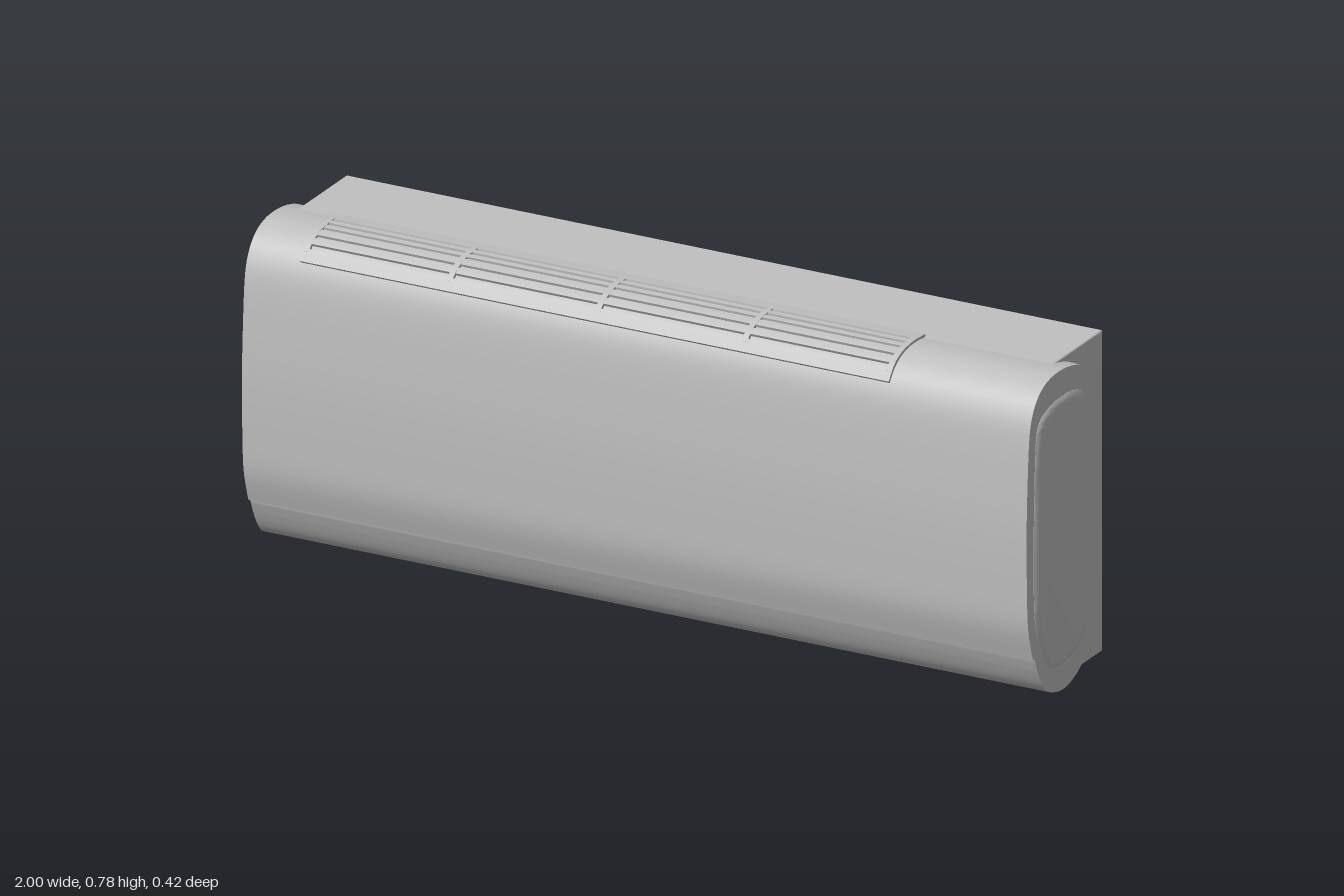
import * as THREE from 'three';
import { toCreasedNormals } from 'three/addons/utils/BufferGeometryUtils.js';
import { RoundedBoxGeometry } from 'three/addons/geometries/RoundedBoxGeometry.js';

const vec = (pts) => pts.map(([z, y]) => new THREE.Vector2(z, y));

// Extrudes a (z, y) outline along x, centred on x = 0
function extrudeX(points, width, bevel = {}) {
  const { size = 0, thick = 0 } = bevel;
  const geo = new THREE.ExtrudeGeometry(new THREE.Shape(points), {
    depth: width - 2 * thick,
    bevelEnabled: size > 0,
    bevelSize: size, bevelOffset: -size, bevelThickness: thick, bevelSegments: 4,
  });
  geo.translate(0, 0, -(width - 2 * thick) / 2);
  geo.rotateY(-Math.PI / 2);
  return toCreasedNormals(geo, 0.5);
}

export function createModel() {
  const model = new THREE.Group();
  model.name = 'airConditioner';
  const casing = new THREE.MeshStandardMaterial({ color: 0xc0c0c0 });
  casing.name = 'casing grey';

  const add = (name, geo, x = 0, y = 0, z = 0, parent = model) => {
    const mesh = new THREE.Mesh(geo, casing);
    mesh.name = name;
    mesh.position.set(x, y, z);
    parent.add(mesh);
    return mesh;
  };

  // Curved casing, with a small step at the front seam above the flap
  const shell = new THREE.SplineCurve(vec([
    [0.171, 0.116], [0.15, 0.07], [0.125, 0.033], [0.09, 0.014], [0.04, 0.004], [-0.01, 0.014],
    [-0.05, 0.037], [-0.08, 0.085], [-0.092, 0.16], [-0.096, 0.3], [-0.098, 0.45],
    [-0.095, 0.62], [-0.085, 0.7], [-0.06, 0.744], [0, 0.766], [0.06, 0.773],
    [0.11, 0.768], [0.15, 0.75], [0.18, 0.715], [0.197, 0.66], [0.206, 0.54],
    [0.21, 0.42], [0.208, 0.29], [0.202, 0.2], [0.18, 0.122],
  ])).getPoints(120);
  add('casing', extrudeX([...shell, ...vec([[0.172, 0.122]])], 1.986));

  // Rectangular rear housing
  add('rearHousing', new RoundedBoxGeometry(1.914, 0.77, 0.25, 2, 0.004), 0, 0.385, -0.085);

  // Softly domed end panels
  const panel = new THREE.SplineCurve(vec([
    [0.179, 0.41], [0.175, 0.225], [0.147, 0.14], [0.108, 0.08], [0.05, 0.067], [-0.025, 0.08],
    [-0.06, 0.115], [-0.069, 0.17], [-0.069, 0.4], [-0.069, 0.61], [-0.058, 0.68],
    [-0.004, 0.707], [0.045, 0.71], [0.1, 0.706], [0.152, 0.683], [0.17, 0.625], [0.179, 0.41],
  ])).getPoints(80).slice(0, -1);
  const panelGeo = extrudeX(panel, 0.04, { size: 0.022, thick: 0.01 });
  for (const side of [-1, 1]) {
    add(side > 0 ? 'leftEndPanel' : 'rightEndPanel', panelGeo, side * 0.98);
  }

  // Raised air grille following the curve of the top
  const grille = new THREE.Group();
  grille.name = 'airGrille';
  model.add(grille);
  const top = new THREE.SplineCurve(vec([
    [0.012, 0.776], [0.06, 0.779], [0.1, 0.776], [0.13, 0.769], [0.16, 0.752], [0.185, 0.721],
  ])).getPoints(60);
  const topAt = (z) => {
    const i = Math.max(1, top.findIndex((p) => p.x >= z - 1e-6));
    const a = top[i - 1], b = top[i];
    return a.clone().lerp(b, (z - a.x) / (b.x - a.x));
  };
  const strip = (z0, z1, width) => {
    const outer = [];
    for (let i = 0; i <= 12; i++) outer.push(topAt(z0 + (z1 - z0) * i / 12));
    const core = new THREE.Vector2(0.06, 0.6);
    const inner = outer.map((p) => p.clone().add(core.clone().sub(p).setLength(0.016))).reverse();
    return extrudeX([...outer, ...inner], width);
  };
  const slats = [[0.062, 0.076], [0.086, 0.1], [0.11, 0.13], [0.14, 0.155]];
  const x0 = -0.86, x1 = 0.63, middle = (x0 + x1) / 2;
  add('grilleRearRail', strip(0.013, 0.052, x1 - x0), middle, 0, 0, grille);
  add('grilleFrontRail', strip(0.165, 0.184, x1 - x0), middle, 0, 0, grille);
  for (const [a, b] of slats) add('grilleSlat', strip(a, b, x1 - x0 - 0.01), middle, 0, 0, grille);
  const bar = strip(0.045, 0.17, 0.014);
  for (const x of [x0 + 0.007, -0.49, -0.115, 0.257, x1 - 0.007]) {
    add('grilleDivider', bar, x, 0.0005, 0, grille);
  }

  return model;
}
